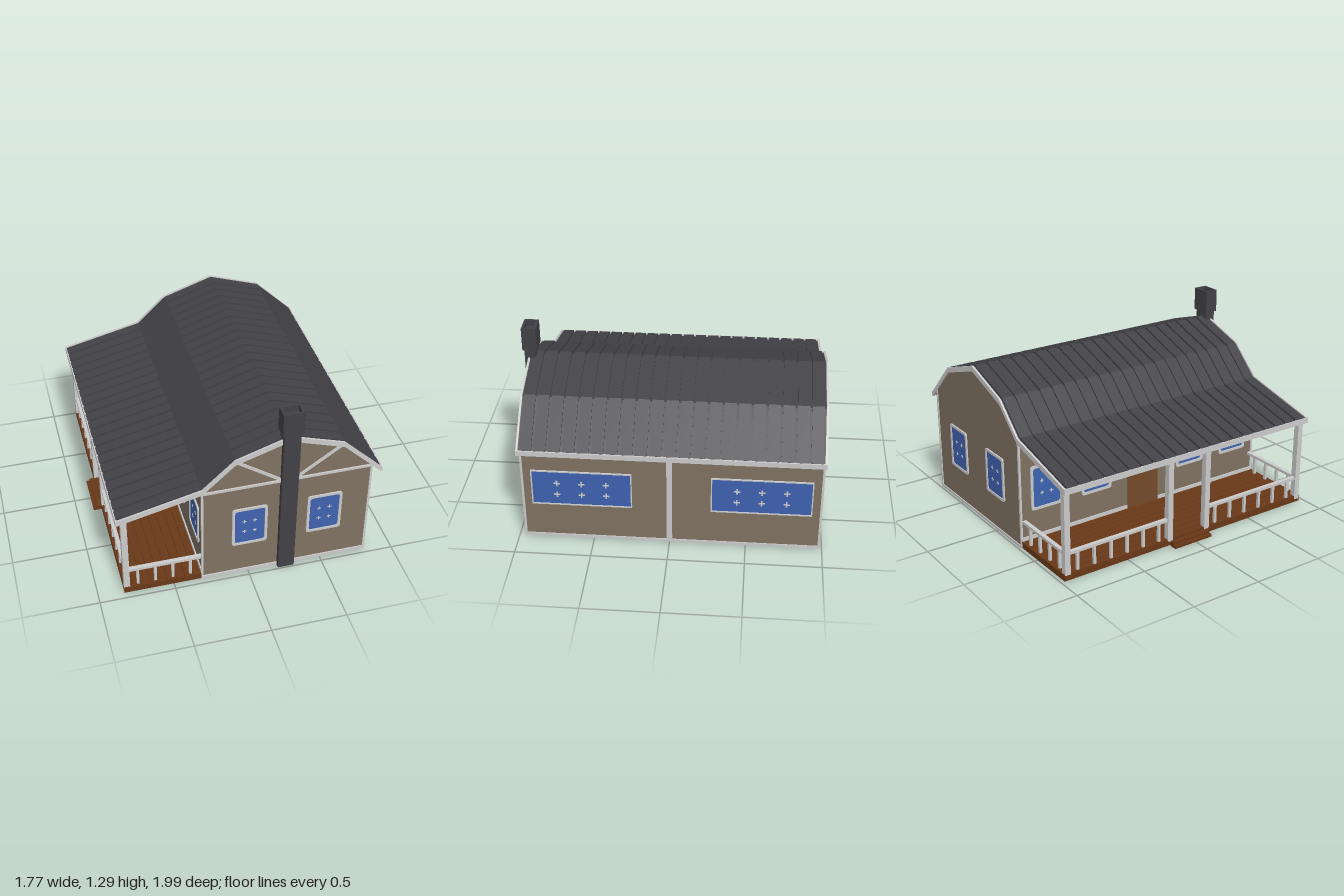
import * as THREE from 'three';

const mat = (name, color) => Object.assign(new THREE.MeshStandardMaterial({ color }), { name });
const M = {
  wall: mat('tan wall', 0x807262),
  trim: mat('light grey trim', 0xcccccc),
  roof: mat('dark roof', 0x424247),
  chimney: mat('chimney grey', 0x424146),
  glass: mat('blue glass', 0x3f63b0),
  deck: mat('deck brown', 0x693818),
  door: mat('door brown', 0x74492b),
};

const mesh = (parent, name, geo, material) => {
  const m = new THREE.Mesh(geo, material);
  m.name = name;
  parent.add(m);
  return m;
};

// Box given by its min and max on each axis
const box = (parent, name, material, x0, x1, y0, y1, z0, z1) => {
  const m = mesh(parent, name, new THREE.BoxGeometry(x1 - x0, y1 - y0, z1 - z0), material);
  m.position.set((x0 + x1) / 2, (y0 + y1) / 2, (z0 + z1) / 2);
  return m;
};

// Flat shape in the xy plane pushed from z0 to z1
const slab = (parent, name, material, shape, z0, z1) => {
  const geo = new THREE.ExtrudeGeometry(shape, { depth: z1 - z0, bevelEnabled: false, curveSegments: 4 });
  geo.translate(0, 0, z0);
  return mesh(parent, name, geo, material);
};
const poly = (pts) => new THREE.Shape(pts.map(([x, y]) => new THREE.Vector2(x, y)));

const roundRect = (S, w, h, r) => {
  const s = new S();
  const x = w / 2, y = h / 2;
  s.moveTo(-x + r, -y).lineTo(x - r, -y).quadraticCurveTo(x, -y, x, -y + r);
  s.lineTo(x, y - r).quadraticCurveTo(x, y, x - r, y);
  s.lineTo(-x + r, y).quadraticCurveTo(-x, y, -x, y - r);
  s.lineTo(-x, -y + r).quadraticCurveTo(-x, -y, -x + r, -y);
  return s;
};

// Top line of the roof: porch eave, porch joint, shoulder, ridge, shoulder, far eave
const ROOF = [[-0.855, 0.643], [-0.31, 0.773], [-0.1, 0.97], [0.25, 1.088], [0.61, 0.97], [0.872, 0.715]];
const roofBand = (top, bottom) => poly([
  ...ROOF.map(([x, y]) => [x, y + bottom]),
  ...ROOF.map(([x, y]) => [x, y + top]).reverse(),
]);

// Window on the outside of a wall, facing its own +z, showing on both wall faces
function addWindow(parent, w, h, frame, cols, crossYs, arm) {
  const g = new THREE.Group();
  g.name = 'window';
  parent.add(g);
  const r = frame > 0.01 ? 0.02 : 0.003;
  const ring = roundRect(THREE.Shape, w, h, r);
  ring.holes.push(roundRect(THREE.Path, w - 2 * frame, h - 2 * frame, r));
  slab(g, 'windowFrame', M.trim, ring, -0.002, 0.01);
  const e = frame * 0.5;
  box(g, 'windowPane', M.glass, -w / 2 + e, w / 2 - e, -h / 2 + e, h / 2 - e, -0.024, 0.004);
  const t = arm * 0.12;
  for (const x of cols) for (const y of crossYs) {
    box(g, 'barCrossing', M.trim, x - arm / 2, x + arm / 2, y - t, y + t, -0.027, 0.007);
    box(g, 'barCrossing', M.trim, x - t, x + t, y - arm / 2, y + arm / 2, -0.0265, 0.0065);
  }
  return g;
}
const smallWindow = (parent) => addWindow(parent, 0.235, 0.31, 0.018, [-0.035, 0.035], [-0.045, 0.04], 0.026);
const longWindow = (parent) => addWindow(parent, 0.655, 0.265, 0.008, [-0.16, 0, 0.16], [-0.05, 0.035], 0.042);

function addHouse(root) {
  const g = new THREE.Group();
  g.name = 'house';
  root.add(g);

  // Gable and side walls, open underneath
  const d = 0.03;
  const gable = poly([[-0.31, 0], [0.81, 0], [0.81, 0.745], [0.61, 0.97 - d], [0.25, 1.088 - d], [-0.1, 0.97 - d], [-0.31, 0.745]]);
  slab(g, 'frontWall', M.wall, gable, 0.935, 0.955);
  slab(g, 'backWall', M.wall, gable, -0.98, -0.96);
  box(g, 'leftWall', M.wall, 0.79, 0.81, 0, 0.745, -0.96, 0.935);
  box(g, 'porchWall', M.wall, -0.31, -0.29, 0, 0.745, -0.96, 0.935);

  // Base boards, corner boards and the middle post
  box(g, 'baseBoard', M.trim, -0.314, 0.814, 0, 0.025, 0.95, 0.963);
  box(g, 'baseBoard', M.trim, -0.314, 0.814, 0, 0.02, -0.986, -0.975);
  box(g, 'baseBoard', M.trim, 0.805, 0.816, 0, 0.022, -0.985, 0.962);
  for (const [z0, z1] of [[-0.98, -0.15], [0.11, 0.955]])
    box(g, 'baseBoard', M.trim, -0.318, -0.305, 0.02, 0.075, z0, z1);
  for (const x of [-0.309, 0.809]) for (const z of [-0.979, 0.955])
    box(g, 'cornerBoard', M.trim, x - 0.007, x + 0.007, 0, 0.745, z - 0.007, z + 0.007);
  box(g, 'middlePost', M.trim, 0.8, 0.822, 0.02, 0.73, -0.018, 0.018);

  // Gable timbers on the front
  box(g, 'gableBeam', M.trim, -0.31, 0.81, 0.73, 0.748, 0.95, 0.964);
  for (const [xa, ya, xb, yb] of [[-0.085, 0.95, 0.21, 0.745], [0.595, 0.95, 0.3, 0.745]]) {
    const brace = mesh(g, 'gableBrace', new THREE.BoxGeometry(Math.hypot(xb - xa, yb - ya), 0.02, 0.012), M.trim);
    brace.position.set((xa + xb) / 2, (ya + yb) / 2, 0.957);
    brace.rotation.z = Math.atan((yb - ya) / (xb - xa));
  }

  // Windows and door
  for (const x of [0.005, 0.508]) {
    smallWindow(g).position.set(x, 0.405, 0.955);
    const back = smallWindow(g);
    back.position.set(x, 0.405, -0.98);
    back.rotation.y = Math.PI;
  }
  for (const z of [0.57, -0.595]) {
    const w = longWindow(g);
    w.position.set(0.81, 0.398, z);
    w.rotation.y = Math.PI / 2;
  }
  for (const z of [0.765, 0.38, -0.4, -0.785]) {
    const w = smallWindow(g);
    w.position.set(-0.31, 0.405, z);
    w.rotation.y = -Math.PI / 2;
  }
  box(g, 'door', M.door, -0.316, -0.284, 0.04, 0.55, -0.145, 0.105);
}

function addRoof(root) {
  const g = new THREE.Group();
  g.name = 'roof';
  root.add(g);
  slab(g, 'roofDeck', M.roof, roofBand(-0.01, -0.03), -0.977, 0.957);
  // Raised sheets with narrow gaps
  const n = 21, pitch = 1.925 / n;
  for (let i = 0; i < n; i++) {
    const z = -0.972 + i * pitch;
    slab(g, 'roofSheet', M.roof, roofBand(0.004, -0.015), z + 0.008, z + pitch - 0.008);
  }
  // Edge boards
  slab(g, 'frontEdgeBoard', M.trim, roofBand(0.003, -0.034), 0.955, 0.968);
  slab(g, 'backEdgeBoard', M.trim, roofBand(0.003, -0.034), -0.99, -0.976);
  box(g, 'leftEaveBoard', M.trim, 0.868, 0.882, 0.684, 0.718, -0.99, 0.968);
  box(g, 'porchEaveBoard', M.trim, -0.862, -0.85, 0.606, 0.645, -0.99, 0.968);
}

function addChimney(root) {
  const g = new THREE.Group();
  g.name = 'chimney';
  root.add(g);
  box(g, 'chimneyStack', M.chimney, 0.2, 0.31, 0, 1.25, 0.917, 0.99);
  // Hollow cap
  const ring = poly([[0.187, -1], [0.322, -1], [0.322, -0.905], [0.187, -0.905]]);
  ring.holes.push(poly([[0.203, -0.985], [0.307, -0.985], [0.307, -0.92], [0.203, -0.92]]));
  slab(g, 'chimneyCap', M.chimney, ring, 1.13, 1.29).rotation.x = -Math.PI / 2;
}

function addPorch(root) {
  const g = new THREE.Group();
  g.name = 'porch';
  root.add(g);

  // Deck with long planks and the step
  box(g, 'deckBase', M.deck, -0.83, -0.314, 0.006, 0.042, -0.98, 0.96);
  const n = 9, w = 0.516 / n;
  for (let i = 0; i < n; i++)
    box(g, 'deckPlank', M.deck, -0.83 + i * w + 0.003, -0.83 + (i + 1) * w - 0.003, 0.04, 0.05, -0.982, 0.962);
  box(g, 'lowerStep', M.deck, -0.885, -0.83, 0, 0.018, -0.17, 0.13);
  box(g, 'upperStep', M.deck, -0.862, -0.83, 0.018, 0.035, -0.17, 0.13);

  // Posts
  const px = -0.81, posts = [-0.955, -0.17, 0.13, 0.935];
  for (const z of posts) box(g, 'porchPost', M.trim, px - 0.02, px + 0.02, 0, 0.63, z - 0.02, z + 0.02);

  // Railings: two ends and two long runs beside the step
  const rail = (xa, za, xb, zb, count) => {
    const rx = xa === xb ? 0.014 : 0, rz = za === zb ? 0.014 : 0;
    box(g, 'handRail', M.trim, xa - rx, xb + rx, 0.176, 0.195, za - rz, zb + rz);
    for (let i = 1; i <= count; i++) {
      const t = (i - 0.35) / (count + 0.3);
      const x = xa + (xb - xa) * t, z = za + (zb - za) * t;
      box(g, 'baluster', M.trim, x - 0.009, x + 0.009, 0.045, 0.18, z - 0.009, z + 0.009);
    }
  };
  for (const z of [posts[0], posts[3]]) rail(px, z, -0.31, z, 4);
  rail(px, posts[0], px, posts[1], 6);
  rail(px, posts[2], px, posts[3], 6);
}

export function createModel() {
  const root = new THREE.Group();
  root.name = 'cottage';
  addHouse(root);
  addRoof(root);
  addChimney(root);
  addPorch(root);
  return root;
}
